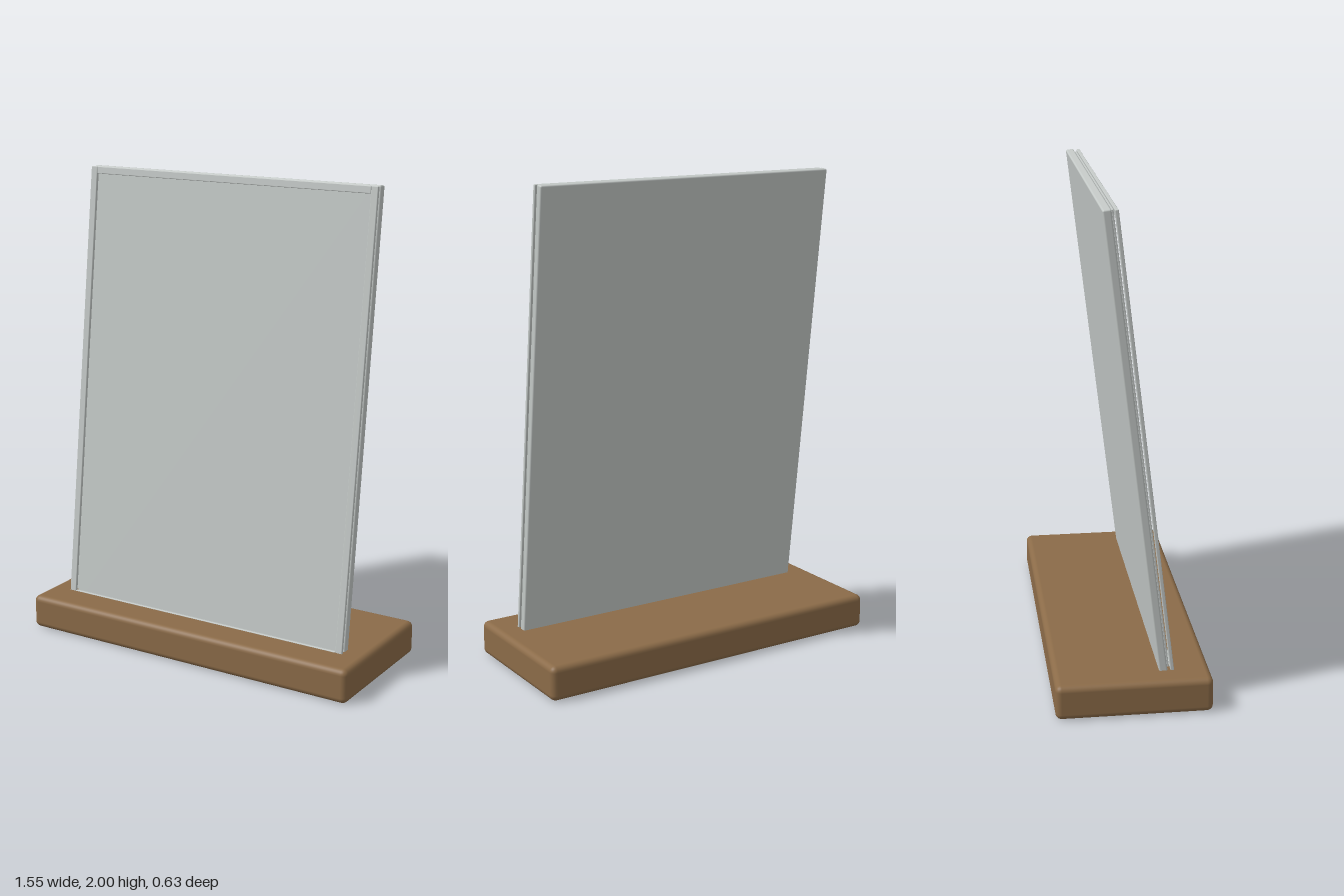
import * as THREE from 'three';
import { RoundedBoxGeometry } from 'three/addons/geometries/RoundedBoxGeometry.js';

export function createModel() {
  const model = new THREE.Group();
  model.name = 'tiltedFrameStand';
  const wood = new THREE.MeshStandardMaterial({ color: 0x8b6b48 });
  wood.name = 'brown wood';
  const metal = new THREE.MeshStandardMaterial({ color: 0xc3c8c6 });
  metal.name = 'light grey metal';

  // Rounded box given by its minimum and maximum corners
  function slab(parent, name, material, min, max, radius) {
    const size = max.map((v, i) => v - min[i]);
    const mesh = new THREE.Mesh(new RoundedBoxGeometry(...size, 3, radius), material);
    mesh.position.set(...max.map((v, i) => (v + min[i]) / 2));
    mesh.name = name;
    parent.add(mesh);
  }

  // Wooden foot
  slab(model, 'base', wood, [-0.775, 0, -0.313], [0.775, 0.145, 0.313], 0.025);

  // Leaning panel: local z = 0 is the front of the frame
  const panel = new THREE.Group();
  panel.name = 'leaningPanel';
  panel.position.set(0, 1, 0.065);
  panel.rotation.x = -0.1204;
  model.add(panel);

  const bottom = -0.92, top = 1.007, rail = 0.03, half = 0.68;
  slab(panel, 'backPlate', metal, [-half, bottom, -0.06], [half, top + 0.005, -0.026], 0.007);

  // Thin sheet held between the plate and the frame
  slab(panel, 'sheet', metal, [-0.648, bottom, -0.023], [0.648, top - 0.004, -0.016], 0.001);

  // Front frame rails
  for (const side of [-1, 1]) {
    const x = side * (half - rail / 2);
    slab(panel, side > 0 ? 'leftRail' : 'rightRail', metal,
      [x - rail / 2, bottom, -0.014], [x + rail / 2, top, 0], 0.003);
  }
  slab(panel, 'topRail', metal, [-half + rail, top - rail, -0.014], [half - rail, top, 0], 0.003);
  slab(panel, 'bottomRail', metal, [-half + rail, -0.887, -0.014], [half - rail, -0.857, 0], 0.003);

  return model;
}
